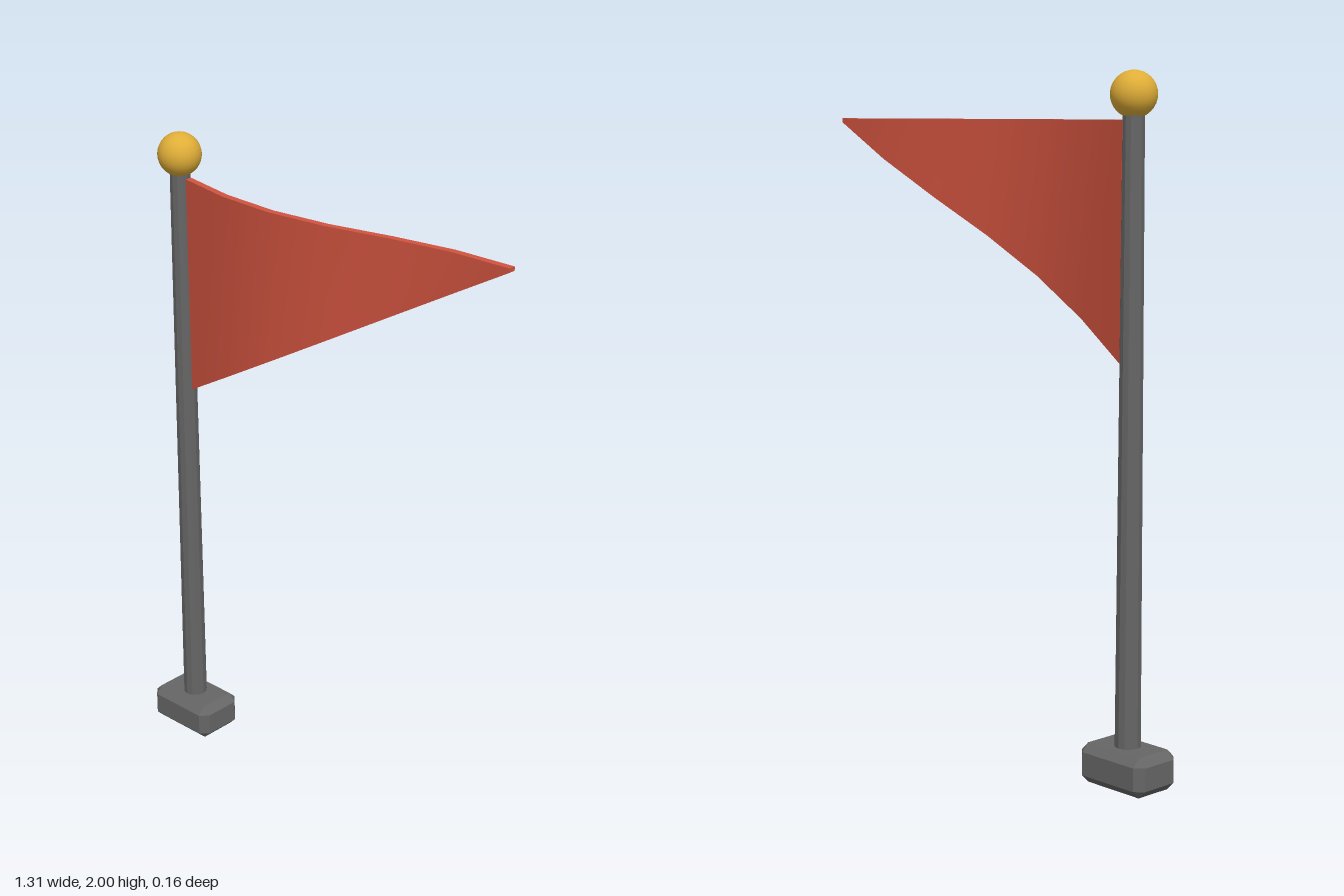
import * as THREE from 'three';
import { ConvexGeometry } from 'three/addons/geometries/ConvexGeometry.js';

const POLE_X = -0.533;

function makeMesh(name, geometry, color, flatShading = false) {
  const mesh = new THREE.Mesh(geometry, new THREE.MeshStandardMaterial({ color, flatShading }));
  mesh.name = name;
  return mesh;
}

// Box with every edge cut by a single chamfer
function chamferedBox(w, h, d, c) {
  const points = [];
  for (const sx of [-1, 1]) for (const sy of [-1, 1]) for (const sz of [-1, 1]) {
    for (let axis = 0; axis < 3; axis++) {
      const half = [w / 2, h / 2, d / 2].map((v, i) => (i === axis ? v : v - c));
      points.push(new THREE.Vector3(sx * half[0], sy * half[1], sz * half[2]));
    }
  }
  return new ConvexGeometry(points);
}

// Thin box tapered to a pennant and bent along a wave
function pennant() {
  const wave = [-0.005, 0.036, 0.048, 0.028, -0.014, -0.045, -0.049];
  const segments = wave.length - 1;
  const startX = -0.505, length = 1.158, top = 1.866, thickness = 0.022;
  const geometry = new THREE.BoxGeometry(1, 1, 1, segments, 1, 1);
  const p = geometry.attributes.position;
  for (let i = 0; i < p.count; i++) {
    const t = p.getX(i) + 0.5;
    const bottom = THREE.MathUtils.lerp(1.2, 1.854, t);
    p.setXYZ(
      i,
      startX + t * length,
      p.getY(i) > 0 ? top : bottom,
      wave[Math.round(t * segments)] + p.getZ(i) * thickness
    );
  }
  geometry.computeVertexNormals();
  return geometry;
}

export function createModel() {
  const group = new THREE.Group();
  group.name = 'pennantFlag';

  // Foot block
  const base = makeMesh('base', chamferedBox(0.246, 0.116, 0.164, 0.024), 0x666666, true);
  base.position.set(POLE_X, 0.058, 0);

  // Slightly tapered pole
  const pole = makeMesh('pole', new THREE.CylinderGeometry(0.031, 0.038, 1.8, 12), 0x666666, true);
  pole.position.set(POLE_X, 1.0, 0);

  // Ball on top
  const finial = makeMesh('finial', new THREE.SphereGeometry(0.065, 24, 16), 0xe0ae38);
  finial.position.set(POLE_X, 1.935, 0);

  const flag = makeMesh('flag', pennant(), 0xd0533f);

  group.add(base, pole, finial, flag);
  return group;
}
